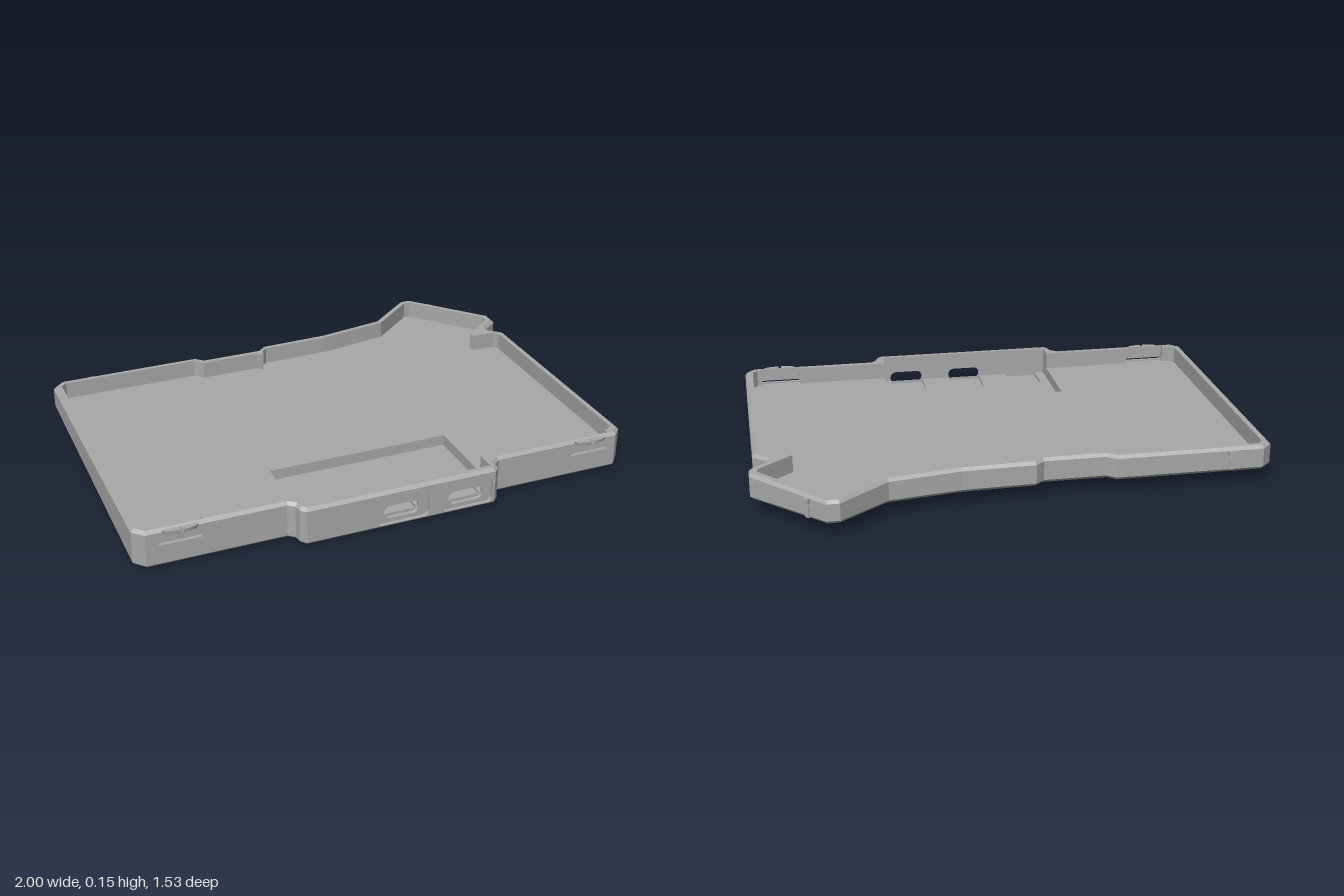
import * as THREE from 'three';

const TOP = 0.155, BEVEL = 0.012, FLOOR = 0.085, BAY = 0.042, PIT = 0.03;
const grey = new THREE.MeshStandardMaterial({ color: 0xa8a8a8, side: THREE.DoubleSide });
grey.name = 'grey plastic';

// Underside is tilted: lowest at the front edge
const under = z => 0.0417 * (0.765 - z);

// Plan outlines as [x, z], running from back left round by +x to the front
const outer = [
  [-1, -0.52], [-0.96, -0.56], [-0.375, -0.56], [-0.342, -0.53], [-0.1, -0.53], [-0.065, -0.56],
  [0.22, -0.568], [0.5, -0.615], [0.69, -0.77], [0.74, -0.77], [1, -0.475], [1, -0.42],
  [0.935, -0.365], [0.93, -0.34], [0.982, -0.29], [0.982, 0.655], [0.945, 0.695],
  [0.915, 0.695], [0.745, 0.695], [0.43, 0.695], [0.405, 0.715], [0.4, 0.745], [0.38, 0.765],
  [-0.38, 0.765], [-0.4, 0.745], [-0.405, 0.715], [-0.43, 0.695],
  [-0.745, 0.695], [-0.915, 0.695], [-0.96, 0.695], [-1, 0.655],
];
const innerBack = [
  [-0.967, -0.51], [-0.945, -0.53], [-0.39, -0.53], [-0.357, -0.496], [-0.115, -0.496],
  [-0.108, -0.48], [-0.09, -0.48], [-0.082, -0.51], [-0.06, -0.53], [0.22, -0.536], [0.515, -0.585],
  [0.7, -0.737], [0.728, -0.737], [0.967, -0.462], [0.965, -0.435], [0.832, -0.325], [0.838, -0.3],
  [0.935, -0.3], [0.95, -0.275], [0.95, 0.64], [0.93, 0.66],
  [0.915, 0.66], [0.915, 0.68], [0.745, 0.68], [0.745, 0.66], [0.37, 0.66],
];
const innerLeft = [
  [-0.37, 0.66], [-0.745, 0.66], [-0.745, 0.68], [-0.915, 0.68], [-0.915, 0.66], [-0.945, 0.66], [-0.967, 0.64],
];
const inner = [...innerBack, [0.37, 0.735], [-0.37, 0.735], ...innerLeft];
const floorPlan = [...innerBack, [0.37, 0.35], [-0.37, 0.35], ...innerLeft];
const rect = (x0, x1, z0, z1) => [[x0, z0], [x1, z0], [x1, z1], [x0, z1]];

// Move an outline inward by d with mitred corners
function inset(pts, d) {
  const n = pts.length;
  const normal = (a, b) => {
    const dx = b[0] - a[0], dz = b[1] - a[1], l = Math.hypot(dx, dz);
    return [-dz / l, dx / l];
  };
  return pts.map((p, i) => {
    const a = normal(pts[(i + n - 1) % n], p), b = normal(p, pts[(i + 1) % n]);
    const k = d / (1 + a[0] * b[0] + a[1] * b[1]);
    return [p[0] + k * (a[0] + b[0]), p[1] + k * (a[1] + b[1])];
  });
}

const lift = (pts, y) => pts.map(([x, z]) => [x, typeof y === 'number' ? y : y(z), z]);

// Front wall stretches that are replaced by pierced panels
function isPanel(a, b) {
  const mx = Math.abs(a[0] + b[0]) / 2;
  return a[2] === b[2] && a[2] > 0.67 && (mx < 0.1 || Math.abs(mx - 0.83) < 0.01);
}

// Bands of quads between successive loops
function bands(loops, gapBand = -1) {
  const pos = [];
  for (let k = 0; k + 1 < loops.length; k++) {
    const A = loops[k], B = loops[k + 1];
    A.forEach((a, i) => {
      const j = (i + 1) % A.length;
      if (k === gapBand && isPanel(a, A[j])) return;
      pos.push(...a, ...B[i], ...A[j], ...A[j], ...B[i], ...B[j]);
    });
  }
  const g = new THREE.BufferGeometry();
  g.setAttribute('position', new THREE.Float32BufferAttribute(pos, 3));
  g.computeVertexNormals();
  return g;
}

// Horizontal sheet with holes
function sheet(pts, y, holes = []) {
  const v = list => list.map(([x, z]) => new THREE.Vector2(x, -z));
  const s = new THREE.Shape(v(pts));
  holes.forEach(h => s.holes.push(new THREE.Path(v(h))));
  return new THREE.ShapeGeometry(s).rotateX(-Math.PI / 2).translate(0, y, 0);
}

function roundRect(x0, x1, y0, y1, r) {
  const p = new THREE.Path();
  p.moveTo(x0 + r, y0);
  p.lineTo(x1 - r, y0).absarc(x1 - r, y0 + r, r, -Math.PI / 2, 0);
  p.lineTo(x1, y1 - r).absarc(x1 - r, y1 - r, r, 0, Math.PI / 2);
  p.lineTo(x0 + r, y1).absarc(x0 + r, y1 - r, r, Math.PI / 2, Math.PI);
  p.lineTo(x0, y0 + r).absarc(x0 + r, y0 + r, r, Math.PI, Math.PI * 1.5);
  return p;
}

// Upright pierced panel in the front wall
function panel(x0, x1, z0, z1, holes) {
  const y0 = under(z1) + BEVEL, y1 = TOP - BEVEL;
  const s = new THREE.Shape(rect(x0, x1, y0, y1).map(p => new THREE.Vector2(...p)));
  s.holes.push(...holes);
  return new THREE.ExtrudeGeometry(s, { depth: z1 - z0, bevelEnabled: false, curveSegments: 6 }).translate(0, 0, z0);
}

export function createModel() {
  const model = new THREE.Group();
  model.name = 'tray';
  const add = (name, geometry, parent = model) => {
    const m = new THREE.Mesh(geometry, grey);
    m.name = name;
    parent.add(m);
    return m;
  };

  // Outer wall with bevelled top and bottom edges
  const edge = inset(outer, BEVEL);
  add('outerWall', bands([
    lift(edge, under), lift(outer, z => under(z) + BEVEL), lift(outer, TOP - BEVEL), lift(edge, TOP),
  ], 1));
  add('rim', sheet(edge, TOP, [inner]));
  add('innerWall', bands([
    lift(inner, TOP), lift(inner, TOP - BEVEL), lift(inner, z => Math.max(PIT, under(z) + 0.01)),
  ], 1));

  // Tilted underside, facing down
  const base = sheet(edge, 0);
  const p = base.attributes.position;
  for (let i = 0; i < p.count; i++) p.setY(i, under(p.getZ(i)));
  base.index.array.reverse();
  base.computeVertexNormals();
  add('underside', base);

  // Floor, sunken bay and three connector pits
  add('floor', sheet(floorPlan, FLOOR));
  const bay = rect(-0.37, 0.37, 0.35, 0.735);
  const pits = [[-0.33, -0.195], [-0.07, 0.07], [0.19, 0.335]].map(([a, b]) => rect(a, b, 0.61, 0.734));
  add('bayFloor', sheet(bay, BAY, pits));
  const bayBack = new THREE.PlaneGeometry(0.74, FLOOR - BAY).translate(0, (FLOOR + BAY) / 2, 0.35);
  add('bayBackWall', bayBack);
  for (const s of [-1, 1]) {
    add('baySideWall', new THREE.PlaneGeometry(0.31, FLOOR - BAY)
      .rotateY(-s * Math.PI / 2).translate(s * 0.37, (FLOOR + BAY) / 2, 0.505));
  }
  for (const pit of pits) {
    add('pitWalls', bands([lift(pit, BAY), lift(pit, PIT)]));
    add('pitFloor', sheet(pit, PIT));
  }

  // Front ports: shallow outer recesses around rounded slots
  add('portRecesses', panel(-0.38, 0.38, 0.75, 0.765,
    [[-0.107, 0.107], [0.16, 0.37]].map(([a, b]) => roundRect(a, b, 0.014, 0.11, 0.022))));
  add('portSlots', panel(-0.378, 0.378, 0.735, 0.75,
    [[-0.07, 0.07], [0.193, 0.335]].map(([a, b]) => roundRect(a, b, 0.03, 0.083, 0.024))));

  // Front snap clips: slit, split lens-shaped catch and stem
  for (const s of [-1, 1]) {
    const clip = new THREE.Group();
    clip.name = 'frontClip';
    model.add(clip);
    const xs = [s * 0.745, s * 0.915].sort((a, b) => a - b);
    add('clipTab', panel(xs[0], xs[1], 0.68, 0.695, [roundRect(xs[0] + 0.004, xs[1] - 0.004, 0.09, 0.1, 0.003)]), clip);
    for (const h of [-1, 1]) {
      const half = new THREE.CylinderGeometry(1, 0.9, 0.014, 10, 1, false, h < 0 ? -Math.PI / 2 : 0, Math.PI / 2);
      add('clipCatch', half.scale(0.064, 1, 0.024).translate(s * 0.83 + h * 0.006, 0.144, 0.692), clip);
    }
    add('clipStem', new THREE.BoxGeometry(0.012, 0.05, 0.012).translate(s * 0.83, 0.125, 0.692), clip);
  }

  // Back catches: small nub above a narrow upright rib
  for (const [x, z, nx, nz] of [[-0.83, -0.56, 0, -1], [0.802, -0.7, 0.75, -0.661]]) {
    const g = new THREE.Group();
    g.name = 'backCatch';
    g.position.set(x, 0, z);
    g.rotation.y = Math.atan2(nx, nz);
    add('catchNub', new THREE.BoxGeometry(0.03, 0.02, 0.024).translate(0, 0.134, 0), g);
    add('catchRib', new THREE.BoxGeometry(0.018, 0.048, 0.008).translate(0, 0.091, 0), g);
    model.add(g);
  }
  return model;
}
